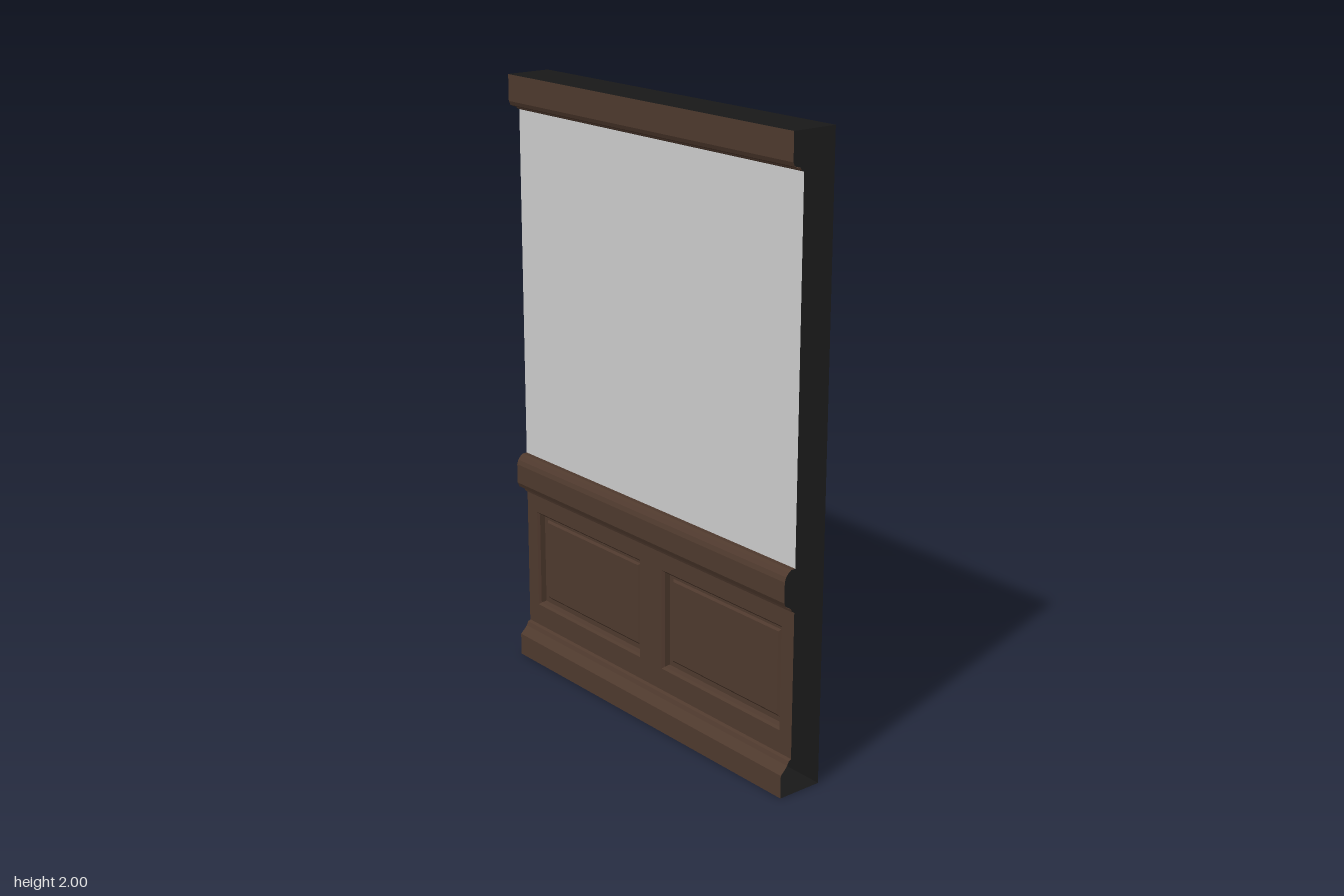
import * as THREE from 'three';

const HALF = 0.663;   // half length of the wall
const DEPTH = 0.077;  // half thickness over the mouldings
const FACE = 0.037;   // face of the wall and wainscot
const PANEL = { w: 0.555, y0: 0.192, y1: 0.53 };

const material = (color) =>
  new THREE.MeshStandardMaterial({ color, side: THREE.DoubleSide, flatShading: true });

// Flat quads between consecutive closed or open rows of points
function loft(rows, closed) {
  const pos = [];
  for (let r = 0; r + 1 < rows.length; r++) {
    const a = rows[r], b = rows[r + 1], n = a.length;
    for (let i = 0; i < (closed ? n : n - 1); i++) {
      const j = (i + 1) % n;
      pos.push(...a[i], ...a[j], ...b[j], ...a[i], ...b[j], ...b[i]);
    }
  }
  const g = new THREE.BufferGeometry();
  g.setAttribute('position', new THREE.Float32BufferAttribute(pos, 3));
  g.computeVertexNormals();
  return g;
}

// Open-ended run of a [depth, height] profile along the wall
const run = (profile) =>
  loft([-HALF, HALF].map((u) => profile.map(([d, y]) => [u, y, d])), false);

const rect = (T, x0, y0, x1, y1) => new T([
  new THREE.Vector2(x0, y0), new THREE.Vector2(x1, y0),
  new THREE.Vector2(x1, y1), new THREE.Vector2(x0, y1)]);

export function createModel() {
  const model = new THREE.Group();
  model.name = 'panelledWall';
  // Local frame: x along the wall, z out of the decorated face
  const wall = new THREE.Group();
  wall.name = 'wall';
  wall.rotation.y = -Math.PI / 2;
  model.add(wall);

  const black = material(0x181818), wood = material(0x4e392d), plaster = material(0xcccccc);
  const add = (name, geometry, mat) => {
    const mesh = new THREE.Mesh(geometry, mat);
    mesh.name = name;
    wall.add(mesh);
  };

  // Plain bottom, back and top
  add('shell', run([[DEPTH, 0], [-DEPTH, 0], [-DEPTH, 2], [DEPTH, 2]]), black);

  // Upper wall and horizontal mouldings, profiles from top to bottom
  add('crownMoulding', run([[DEPTH, 2], [DEPTH, 1.915], [0.071, 1.902], [0.06, 1.897],
    [0.05, 1.897], [0.046, 1.889], [FACE, 1.885]]), wood);
  add('upperWall', run([[FACE, 1.885], [FACE, 0.728]]), plaster);
  add('chairRail', run([[FACE, 0.728], [0.052, 0.728], [0.062, 0.722], [0.072, 0.71],
    [DEPTH, 0.695], [DEPTH, 0.63], [0.07, 0.615], [0.058, 0.608], [0.05, 0.605],
    [0.046, 0.594], [FACE, 0.59]]), wood);
  add('baseboard', run([[FACE, 0.118], [0.046, 0.113], [0.052, 0.1], [0.064, 0.087],
    [DEPTH, 0.075], [DEPTH, 0]]), wood);

  // Wainscot board with two openings
  const board = rect(THREE.Shape, -HALF, 0.118, HALF, 0.59);
  const centres = [-0.3325, 0.3325];
  for (const c of centres) {
    board.holes.push(rect(THREE.Path, c - PANEL.w / 2, PANEL.y0, c + PANEL.w / 2, PANEL.y1));
  }
  add('wainscot', new THREE.ShapeGeometry(board).translate(0, 0, FACE), wood);

  // Sunk panels: stepped edge, then a slightly raised field
  const steps = [[0, FACE], [0.007, 0.03], [0.01, 0.012], [0.027, 0.012], [0.034, 0.018]];
  for (const c of centres) {
    const rings = steps.map(([inset, d]) => {
      const x = PANEL.w / 2 - inset, y0 = PANEL.y0 + inset, y1 = PANEL.y1 - inset;
      return [[c - x, y0, d], [c + x, y0, d], [c + x, y1, d], [c - x, y1, d]];
    });
    add('panelMoulding', loft(rings, true), wood);
    const [inset, d] = steps[steps.length - 1];
    add('panelField', new THREE.PlaneGeometry(PANEL.w - 2 * inset, PANEL.y1 - PANEL.y0 - 2 * inset)
      .translate(c, (PANEL.y0 + PANEL.y1) / 2, d), wood);
  }
  return model;
}
